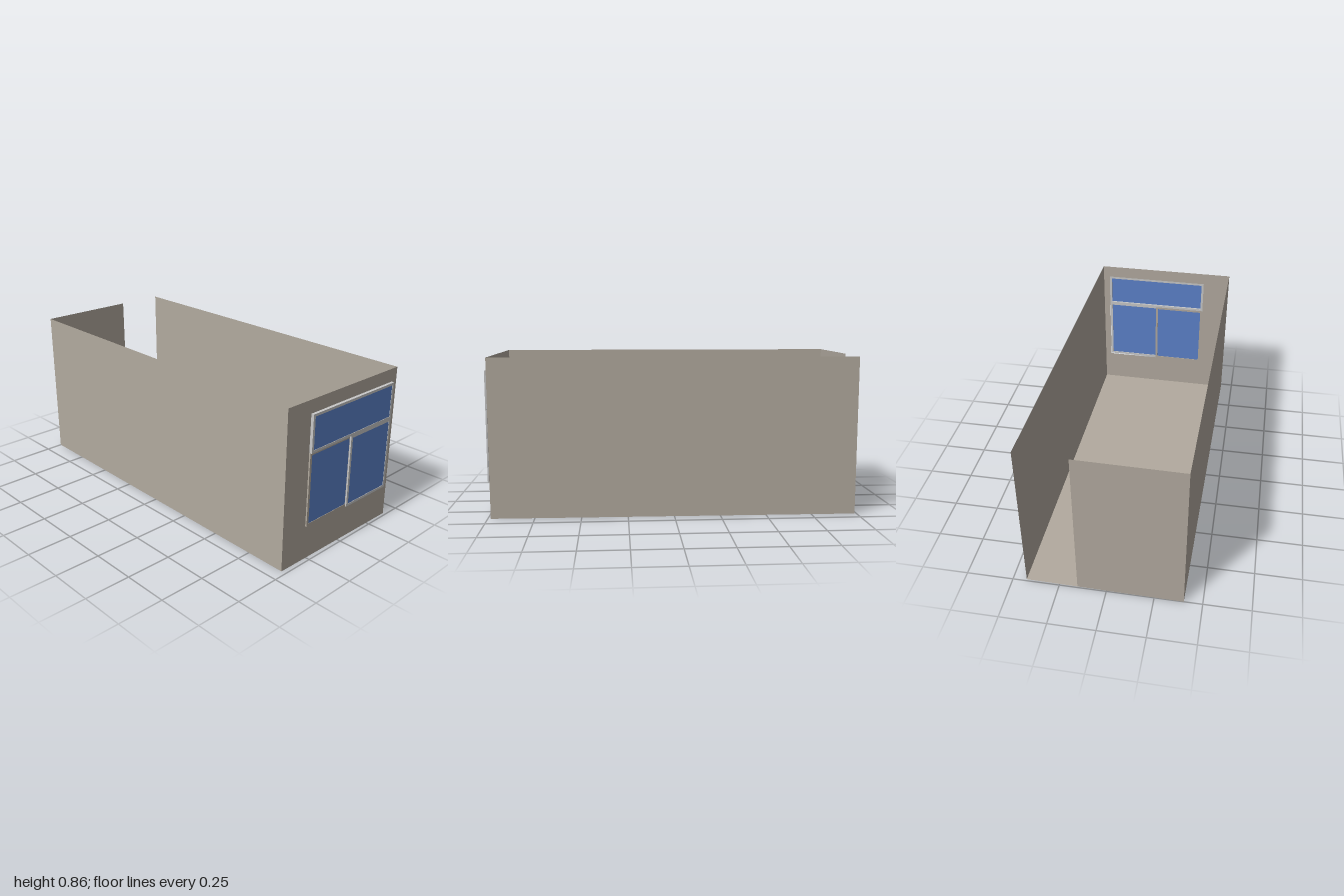
import * as THREE from 'three';

const wallMat = new THREE.MeshStandardMaterial({ name: 'beige plaster', color: 0xb2aa9f, side: THREE.DoubleSide });
const frameMat = new THREE.MeshStandardMaterial({ name: 'light grey frame', color: 0xc8c8c8 });
const glassMat = new THREE.MeshStandardMaterial({ name: 'blue glass', color: 0x5c82ca });

const A = 0.987, B = 0.4155, H = 0.86; // half length, half width, height of the room

function rect(Type, x0, y0, x1, y1) {
  return new Type([[x0, y0], [x1, y0], [x1, y1], [x0, y1]].map(p => new THREE.Vector2(...p)));
}

function add(parent, name, geometry, material, x = 0, y = 0, z = 0) {
  const mesh = new THREE.Mesh(geometry, material);
  mesh.name = name;
  mesh.position.set(x, y, z);
  parent.add(mesh);
  return mesh;
}

// A rectangular frame with a thin pane set just behind its outer face
function sash(parent, name, [x0, y0, x1, y1], back, front, material) {
  const t = 0.0135;
  const group = new THREE.Group();
  group.name = name;
  const shape = rect(THREE.Shape, x0, y0, x1, y1);
  shape.holes.push(rect(THREE.Path, x0 + t, y0 + t, x1 - t, y1 - t));
  add(group, name + 'Frame', new THREE.ExtrudeGeometry(shape, { depth: front - back, bevelEnabled: false }), material, 0, 0, back);
  add(group, name + 'Glass', new THREE.BoxGeometry(x1 - x0 - 2 * t, y1 - y0 - 2 * t, 0.003), glassMat,
    (x0 + x1) / 2, (y0 + y1) / 2, front - 0.0035);
  parent.add(group);
}

export function createModel() {
  const model = new THREE.Group();
  model.name = 'room';
  const room = new THREE.Group();
  room.name = 'roomShell';
  room.position.x = -0.008;
  room.rotation.y = -0.0126; // the room sits slightly askew
  model.add(room);

  // Floor and long walls
  add(room, 'floor', new THREE.PlaneGeometry(2 * A, 2 * B).rotateX(-Math.PI / 2), wallMat);
  add(room, 'frontWall', new THREE.PlaneGeometry(2 * A, H), wallMat, 0, H / 2, B);
  add(room, 'backWall', new THREE.PlaneGeometry(2 * A, H).rotateY(Math.PI), wallMat, 0, H / 2, -B);

  // Door end: the wall stops short of the back corner
  const gapEdge = -0.142;
  add(room, 'doorWall', new THREE.PlaneGeometry(B - gapEdge, H).rotateY(-Math.PI / 2), wallMat,
    -A, H / 2, (B + gapEdge) / 2);

  // Window end, drawn facing +z and turned to face +x
  const end = new THREE.Group();
  end.name = 'windowEnd';
  end.position.x = A;
  end.rotation.y = Math.PI / 2;
  room.add(end);
  const [l, r, bottom, mid, top] = [-0.253, 0.377, 0.188, 0.588, 0.789];
  const wall = rect(THREE.Shape, -B, 0, B, H);
  wall.holes.push(rect(THREE.Path, l, bottom, r, top));
  add(end, 'windowWall', new THREE.ShapeGeometry(wall), wallMat);

  // Fixed upper light and two overlapping sliding sashes
  sash(end, 'upperWindow', [l, mid, r, top], 0, 0.016, frameMat);
  sash(end, 'innerSash', [l, bottom, 0.0615, mid], 0, 0.008, wallMat);
  sash(end, 'outerSash', [0.048, bottom, r, mid], 0.008, 0.016, frameMat);
  add(end, 'sashHandle', new THREE.BoxGeometry(0.004, 0.04, 0.001), wallMat, 0.37, 0.365, 0.0162);

  return model;
}
